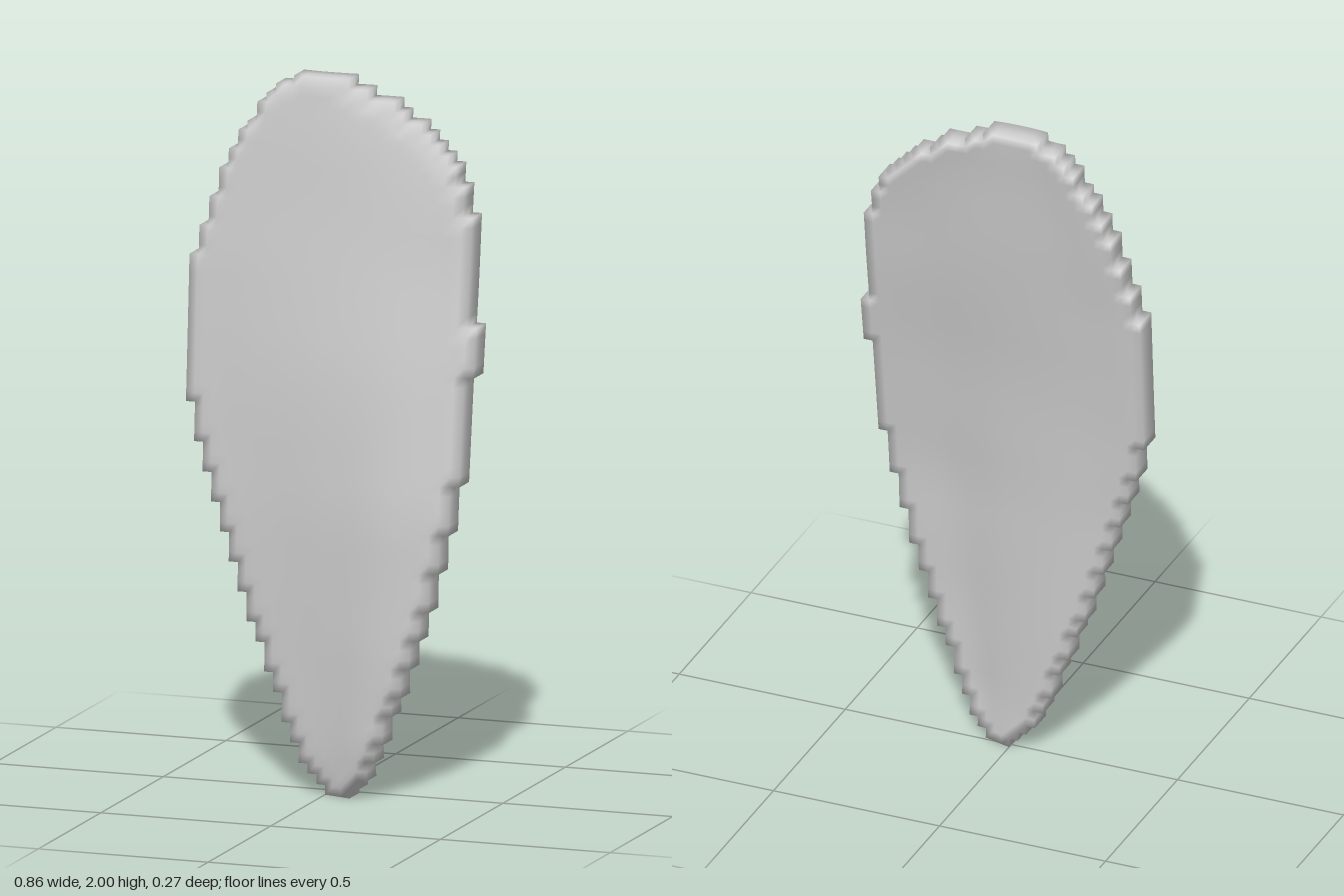
import * as THREE from 'three';

const COLS = 32, ROWS = 73, CW = 0.027, CH = 2 / ROWS;
const THICK = 0.088, LAYERS = 2, RIM_DROP = 0.008;

// Piecewise linear lookup through [position, value, ...] rows
function lookup(points, t, column = 1) {
  if (t <= points[0][0]) return points[0][column];
  for (let i = 1; i < points.length; i++) {
    const p = points[i - 1], q = points[i];
    if (t <= q[0]) return p[column] + (q[column] - p[column]) * (t - p[0]) / (q[0] - p[0]);
  }
  return points[points.length - 1][column];
}

// Smooth lookup: average of neighbouring samples
function smooth(points, t, r, column = 1) {
  let sum = 0;
  for (let i = -3; i <= 3; i++) sum += lookup(points, t + r * i / 3, column);
  return sum / 7;
}

// Outline by height: [y, x]
const leftEdge = [[0.014, 0], [0.045, -0.027], [0.075, -0.054], [0.115, -0.081], [0.17, -0.108],
  [0.3, -0.162], [0.435, -0.216], [0.59, -0.27], [0.75, -0.324], [0.92, -0.378], [1.01, -0.405],
  [1.07, -0.42], [1.27, -0.432], [1.48, -0.42], [1.53, -0.405], [1.61, -0.378], [1.69, -0.351],
  [1.755, -0.324], [1.8, -0.297], [1.85, -0.27], [1.89, -0.243], [1.925, -0.216], [1.95, -0.189],
  [1.986, -0.137]];
const rightEdge = [[0.014, 0.081], [0.045, 0.108], [0.085, 0.135], [0.14, 0.162], [0.205, 0.189],
  [0.34, 0.243], [0.51, 0.297], [0.605, 0.324], [0.71, 0.351], [0.83, 0.378], [0.92, 0.395],
  [1.27, 0.41], [1.63, 0.395], [1.69, 0.378], [1.755, 0.351], [1.8, 0.324], [1.83, 0.297],
  [1.85, 0.27], [1.89, 0.216], [1.93, 0.162], [1.95, 0.108], [1.963, 0.081], [1.986, 0.027]];

// Cross-sections of the front face: [y, then z at five even stations from edge to edge]
const sections = [
  [0, 0.075, 0.078, 0.082, 0.086, 0.09],
  [0.1, 0.06, 0.073, 0.09, 0.112, 0.124],
  [0.4, 0.042, 0.06, 0.09, 0.125, 0.134],
  [0.8, 0.032, 0.05, 0.083, 0.118, 0.114],
  [1.2, 0.002, 0.028, 0.053, 0.07, 0.06],
  [1.5, -0.018, 0.002, 0.014, 0.019, 0.013],
  [1.65, -0.03, -0.012, -0.003, 0, -0.003],
  [1.85, -0.042, -0.028, -0.023, -0.028, -0.037],
  [2, -0.05, -0.047, -0.046, -0.047, -0.05],
];

function frontZ(x, y) {
  const xl = smooth(leftEdge, y, 0.04), xr = smooth(rightEdge, y, 0.04);
  const t = THREE.MathUtils.clamp((x - xl) / (xr - xl), 0, 1);
  const stations = [1, 2, 3, 4, 5].map((c) => new THREE.Vector2(c, smooth(sections, y, 0.08, c)));
  return new THREE.SplineCurve(stations).getPoint(t).y;
}

// Domed, twisted plate with a stepped outline, built from grid cells
function plateGeometry() {
  const spans = [];
  for (let j = 0; j < ROWS; j++) {
    const y = (j + 0.5) * CH;
    const a = Math.round(lookup(leftEdge, y) / CW) + COLS / 2;
    const b = Math.round(lookup(rightEdge, y) / CW) + COLS / 2;
    spans.push([a, y > 1.2 && y < 1.33 ? COLS : b]); // small step out on the side
  }
  const filled = (i, j) => j >= 0 && j < ROWS && i >= spans[j][0] && i < spans[j][1];
  const onRim = (i, j) =>
    !(filled(i, j) && filled(i - 1, j) && filled(i, j - 1) && filled(i - 1, j - 1));

  const positions = [], index = [], ids = new Map();
  const vertex = (i, j, layer) => {
    const key = `${i},${j},${layer}`;
    if (!ids.has(key)) {
      const x = (i - COLS / 2) * CW, y = j * CH, depth = layer / LAYERS;
      const drop = onRim(i, j) ? RIM_DROP * (1 - depth) : 0;
      ids.set(key, positions.length / 3);
      positions.push(x, y, frontZ(x, y) - depth * THICK - drop);
    }
    return ids.get(key);
  };
  const quad = (a, b, c, d) => index.push(a, b, c, a, c, d);
  // Wall from one grid corner to the next, outline running anticlockwise
  const wall = (i0, j0, i1, j1) => {
    for (let k = 0; k < LAYERS; k++) {
      quad(vertex(i0, j0, k), vertex(i0, j0, k + 1), vertex(i1, j1, k + 1), vertex(i1, j1, k));
    }
  };

  for (let j = 0; j < ROWS; j++) {
    for (let i = spans[j][0]; i < spans[j][1]; i++) {
      const corners = [[i, j], [i + 1, j], [i + 1, j + 1], [i, j + 1]];
      quad(...corners.map(([p, q]) => vertex(p, q, 0)));
      quad(...corners.map(([p, q]) => vertex(p, q, LAYERS)).reverse());
      if (!filled(i, j - 1)) wall(i, j, i + 1, j);
      if (!filled(i + 1, j)) wall(i + 1, j, i + 1, j + 1);
      if (!filled(i, j + 1)) wall(i + 1, j + 1, i, j + 1);
      if (!filled(i - 1, j)) wall(i, j + 1, i, j);
    }
  }
  const geometry = new THREE.BufferGeometry();
  geometry.setAttribute('position', new THREE.Float32BufferAttribute(positions, 3));
  geometry.setIndex(index);
  geometry.computeVertexNormals();
  return geometry;
}

export function createModel() {
  const group = new THREE.Group();
  group.name = 'curvedPlate';
  const plate = new THREE.Mesh(plateGeometry(), new THREE.MeshStandardMaterial({ color: 0xcccccc }));
  plate.name = 'plate';
  group.add(plate);
  return group;
}
